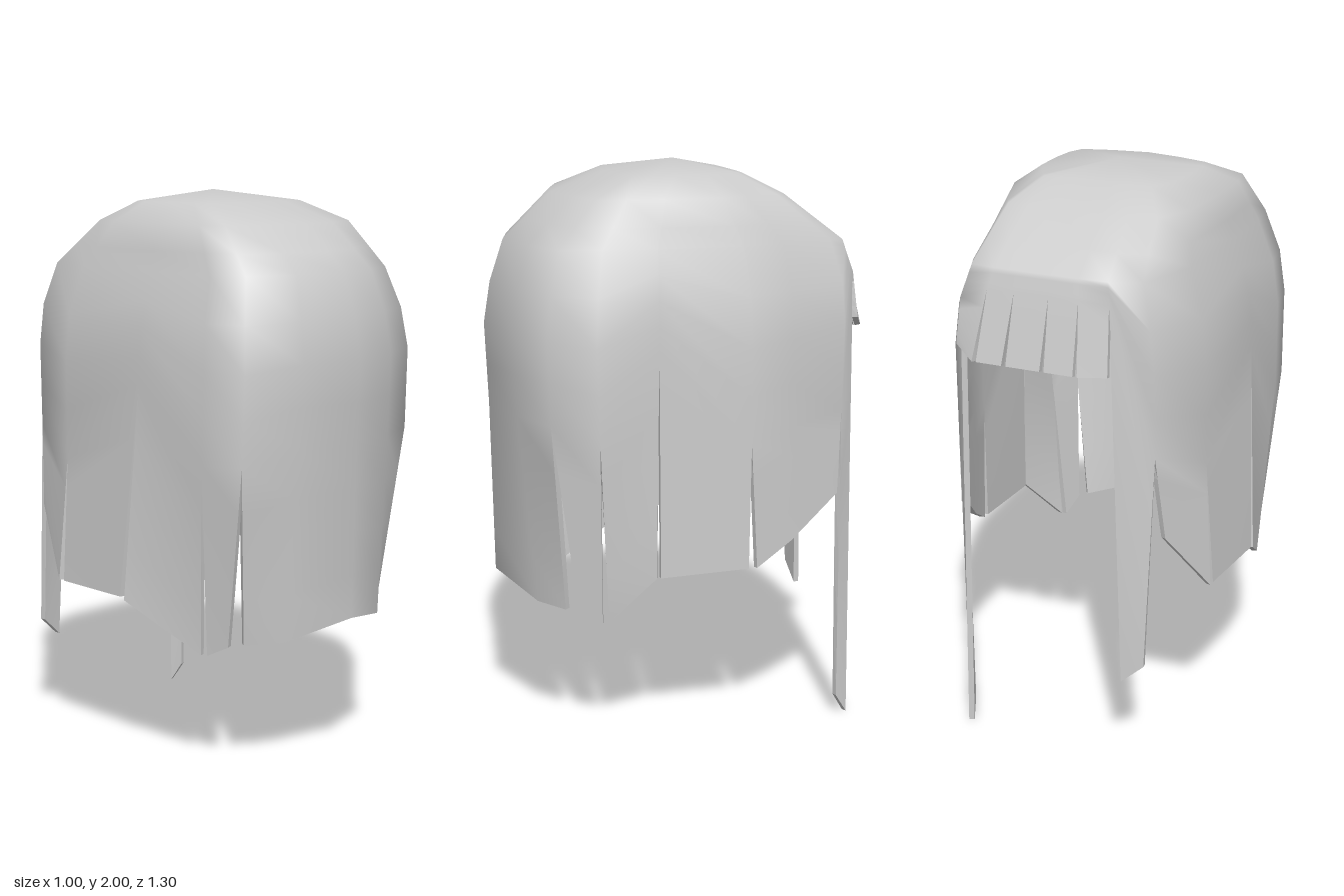
import * as THREE from 'three';
import { mergeVertices } from 'three/addons/utils/BufferGeometryUtils.js';

// Dome rings: height, width factor, front depth factor, back depth factor
const RINGS = [
  [2.0, 0, 0, 0],
  [1.96, 0.54, 0.37, 0.34],
  [1.89, 0.74, 0.63, 0.59],
  [1.73, 0.84, 0.89, 0.93],
  [1.6, 0.94, 0.96, 0.99],
  [1.45, 0.99, 1.0, 1.0],
  [1.0, 1.0, 0.97, 0.98],
  [0.0, 1.0, 0.95, 0.96],
];

// Locks, walking from the front middle round +x, the back and -x.
// Each: plan x, plan z, hem x, hem y, hem z, height where it leaves the dome.
// Two neighbours with one plan point are the two sides of a slit.
const sideLeft = [
  [0, 0.655, 0, 0.54, 0.63, 1.15],
  [0.24, 0.6, 0.27, 0.49, 0.53, 1.15],
  [0.44, 0.52, 0.36, 0.48, 0.45, 1.15],
  [0.44, 0.52, 0.39, 0.48, 0.41, 1.15],
  [0.485, 0.36, 0.41, 0.43, 0.33, 1.1],
  [0.485, 0.36, 0.42, 0.44, 0.31, 1.1],
  [0.5, 0.15, 0.5, 0.61, 0.16, 1.4],
  [0.5, 0.15, 0.5, 0.61, 0.145, 1.4],
  [0.5, -0.18, 0.5, 0.62, -0.17, 1.06],
  [0.5, -0.18, 0.5, 0.62, -0.2, 1.06],
  [0.455, -0.34, 0.46, 0.7, -0.34, 1.1],
  [0.385, -0.55, 0.39, 0.84, -0.53, 1.14],
];
const strandLeft = [
  [0.385, -0.55, 0.37, 0.07, -0.55, 1.14],
  [0.36, -0.605, 0.355, 0, -0.595, 1.62],
];
const fringe = [[0.36, -0.605, 0.345, 1.46, -0.61, 1.62]];
for (const x of [0.26, 0.15, 0.01, -0.11]) {
  for (const s of [1, -1]) fringe.push([x, -0.615, x + s * 0.008, 1.42, -0.65, 1.66]);
}
fringe.push([-0.23, -0.61, -0.222, 1.43, -0.64, 1.66]);
const strandRight = [
  [-0.23, -0.61, -0.26, 0.31, -0.62, 1.66],
  [-0.36, -0.57, -0.34, 0.38, -0.61, 1.14],
];
const sideRight = [
  [-0.36, -0.57, -0.385, 0.84, -0.53, 1.14],
  [-0.45, -0.33, -0.48, 0.6, -0.345, 1.05],
  [-0.45, -0.33, -0.48, 0.6, -0.32, 1.05],
  [-0.468, 0.06, -0.505, 0.6, 0, 1.35],
  [-0.468, 0.06, -0.505, 0.59, 0.02, 1.35],
  [-0.46, 0.36, -0.42, 0.43, 0.31, 1.1],
  [-0.46, 0.36, -0.41, 0.43, 0.33, 1.1],
  [-0.43, 0.52, -0.39, 0.47, 0.41, 1.1],
  [-0.43, 0.52, -0.36, 0.48, 0.455, 1.1],
  [-0.23, 0.6, -0.24, 0.48, 0.53, 1.15],
];
const LOCKS = [...sideLeft, ...strandLeft, ...fringe, ...strandRight, ...sideRight];

// Point on the dome above a plan position
function domePoint(px, pz, y) {
  let i = 0;
  while (i < RINGS.length - 2 && y < RINGS[i + 1][0]) i++;
  const a = RINGS[i], b = RINGS[i + 1];
  const t = (a[0] - y) / (a[0] - b[0]);
  const f = (k) => THREE.MathUtils.lerp(a[k], b[k], t);
  return new THREE.Vector3(px * f(1), y, pz * f(pz > 0 ? 2 : 3) - 0.03 * Math.max(0, (y - 1.89) / 0.11));
}

// One lock from the crown down to its hem
function lockPoints([px, pz, hx, hy, hz, start]) {
  const points = [2, 1.96, 1.89, 1.8, 1.73].map((y) => domePoint(px, pz, y));
  for (let i = 1; i <= 4; i++) points.push(domePoint(px, pz, 1.73 + (start - 1.73) * i / 4));
  const from = points[points.length - 1];
  const hem = new THREE.Vector3(hx, hy, hz);
  for (let i = 1; i <= 4; i++) points.push(from.clone().lerp(hem, i / 4));
  return points;
}

function makeGeometry(positions, index) {
  const g = new THREE.BufferGeometry();
  g.setAttribute('position', new THREE.Float32BufferAttribute(positions, 3));
  if (index) g.setIndex(index);
  return g;
}

// Outer skin: neighbouring locks joined, slits left open
function outerSkin() {
  const columns = LOCKS.map(lockPoints);
  const rows = columns[0].length;
  const index = [];
  columns.forEach((_, j) => {
    const k = (j + 1) % columns.length;
    const slit = LOCKS[j][0] === LOCKS[k][0] && LOCKS[j][1] === LOCKS[k][1];
    if (slit) return;
    for (let i = 0; i < rows - 1; i++) {
      const a = j * rows + i, d = k * rows + i;
      index.push(a, a + 1, d + 1);
      if (i > 0) index.push(a, d + 1, d);
    }
  });
  const g = mergeVertices(makeGeometry(columns.flat().flatMap((p) => p.toArray()), index), 1e-5);
  g.computeVertexNormals();
  return g;
}

// Inner skin: the outer one moved inward and turned round
function innerSkin(outer, thickness) {
  const p = outer.attributes.position, n = outer.attributes.normal;
  const positions = Array.from(p.array, (v, i) => v - n.array[i] * thickness);
  const index = Array.from(outer.index.array).reverse();
  const g = makeGeometry(positions, index);
  g.computeVertexNormals();
  return g;
}

// Rim: a flat band along every open edge
function rimBand(outer, inner) {
  const ix = outer.index.array, edges = new Set(), positions = [];
  const eachEdge = (fn) => {
    for (let t = 0; t < ix.length; t += 3) {
      for (let e = 0; e < 3; e++) fn(ix[t + e], ix[t + (e + 1) % 3]);
    }
  };
  eachEdge((a, b) => edges.add(a + '_' + b));
  const at = (g, i) => new THREE.Vector3().fromBufferAttribute(g.attributes.position, i).toArray();
  eachEdge((a, b) => {
    if (edges.has(b + '_' + a)) return;
    const oa = at(outer, a), ob = at(outer, b), ia = at(inner, a), ib = at(inner, b);
    positions.push(...ob, ...oa, ...ia, ...ob, ...ia, ...ib);
  });
  const g = makeGeometry(positions);
  g.computeVertexNormals();
  return g;
}

export function createModel() {
  const group = new THREE.Group();
  group.name = 'hair';
  const material = new THREE.MeshStandardMaterial({ color: 0xcccccc, side: THREE.DoubleSide });
  const outer = outerSkin();
  const inner = innerSkin(outer, 0.02);
  const parts = { outerHair: outer, innerHair: inner, hairEdges: rimBand(outer, inner) };
  for (const [name, geometry] of Object.entries(parts)) {
    const mesh = new THREE.Mesh(geometry, material);
    mesh.name = name;
    group.add(mesh);
  }
  return group;
}
